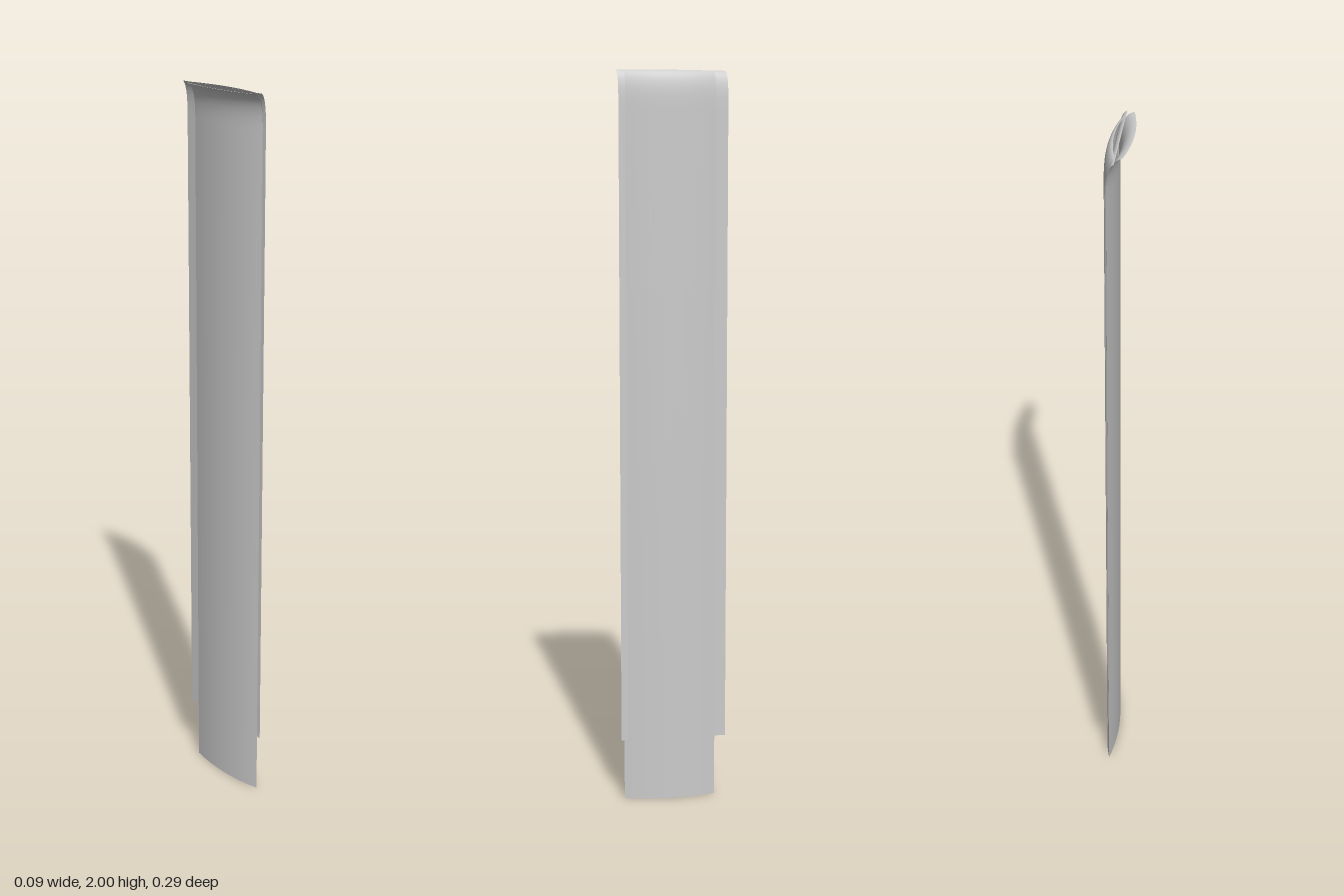
import * as THREE from 'three';

const HEIGHT = 2;
const BEND_START = 1.9;
const material = new THREE.MeshStandardMaterial({ color: 0xcccccc, side: THREE.DoubleSide });

// Chords of the cross-section on the floor, as [x, z] from back to front
const bodyChord = [[0.04, -0.115], [-0.009, 0.135]];
const stripChord = [[0.046, -0.145], [-0.008, 0.144]];

// Point on a chord at s (-1 back, 1 front), bowed sideways in x
function bowed(chord, s, bulge) {
  const [[x0, z0], [x1, z1]] = chord;
  const t = (s + 1) / 2;
  return [x0 + (x1 - x0) * t + bulge * (1 - s * s), z0 + (z1 - z0) * t];
}

// Upright thin sheet: bowed across its width, its top curling towards -x
function sheet(name, chord, bulge, bottom, curl) {
  const rows = 20;
  const geometry = new THREE.PlaneGeometry(2, 1, 24, rows);
  const p = geometry.attributes.position;
  for (let i = 0; i < p.count; i++) {
    const row = Math.round((p.getY(i) + 0.5) * rows);
    // The lower rows share the straight part, the upper ones the curl
    const y = row <= 4
      ? bottom + (BEND_START - bottom) * row / 4
      : BEND_START + (HEIGHT - BEND_START) * Math.sin((row - 4) / (rows - 4) * Math.PI / 2);
    const t = Math.max(0, (y - BEND_START) / (HEIGHT - BEND_START));
    const [x, z] = bowed(chord, p.getX(i), bulge);
    p.setXYZ(i, x - curl * (1 - Math.sqrt(Math.max(0, 1 - t ** 3))), y, z);
  }
  geometry.computeVertexNormals();
  const mesh = new THREE.Mesh(geometry, material);
  mesh.name = name;
  return mesh;
}

// Lens-shaped floor closing the two bowed faces
function bottomCap(bulgeOut, bulgeIn) {
  const geometry = new THREE.PlaneGeometry(2, 1, 24, 1);
  const p = geometry.attributes.position;
  for (let i = 0; i < p.count; i++) {
    const [x, z] = bowed(bodyChord, p.getX(i), p.getY(i) > 0 ? bulgeOut : bulgeIn);
    p.setXYZ(i, x, 0, z);
  }
  geometry.computeVertexNormals();
  const mesh = new THREE.Mesh(geometry, material);
  mesh.name = 'bottomCap';
  return mesh;
}

export function createModel() {
  const model = new THREE.Group();
  model.name = 'curvedPanel';
  model.add(
    sheet('outerFace', bodyChord, 0.018, 0, 0.022),
    sheet('innerFace', bodyChord, -0.015, 0, 0.038),
    sheet('middleStrip', stripChord, 0, 0.17, 0.022),
    bottomCap(0.018, -0.015),
  );
  return model;
}
